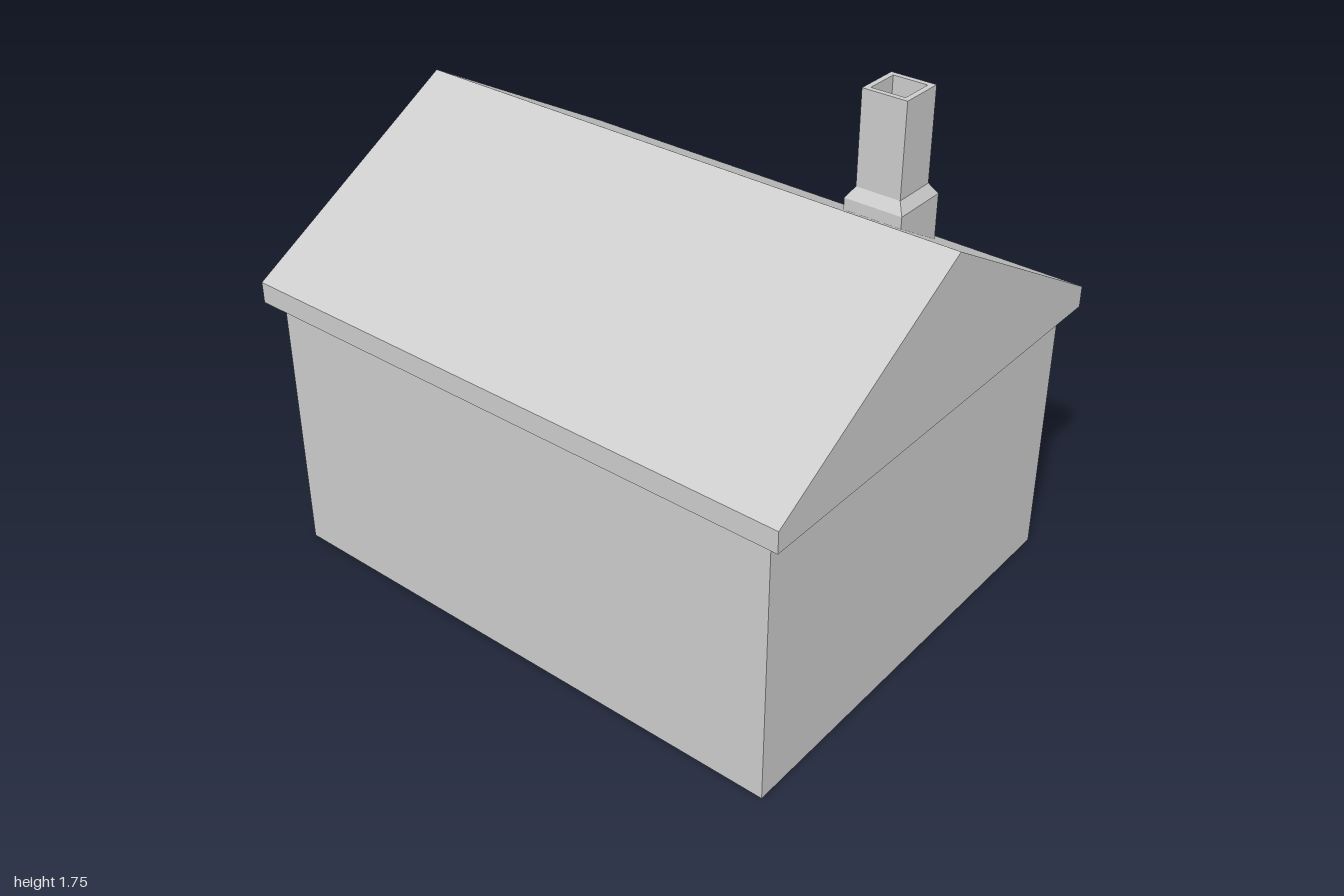
import * as THREE from 'three';

export function createModel() {
  const house = new THREE.Group();
  house.name = 'house';
  const material = new THREE.MeshStandardMaterial({ color: 0xcccccc, flatShading: true });

  const add = (name, geometry, x = 0, y = 0, z = 0) => {
    const mesh = new THREE.Mesh(geometry, material);
    mesh.name = name;
    mesh.position.set(x, y, z);
    house.add(mesh);
    return mesh;
  };

  // Walls: a plain block
  add('walls', new THREE.BoxGeometry(1.9, 0.92, 1.52), 0, 0.46, 0);

  // Gabled roof: end profile with a short fascia, extruded along x
  const gable = new THREE.Shape([
    [-0.8, 0.92], [0.8, 0.92], [0.8, 0.992], [0, 1.45], [-0.8, 0.992],
  ].map(([z, y]) => new THREE.Vector2(z, y)));
  const roof = new THREE.ExtrudeGeometry(gable, { depth: 2, bevelEnabled: false });
  roof.translate(0, 0, -1).rotateY(Math.PI / 2);
  add('roof', roof);

  // Square chimney: wide base, sloped shoulder, shaft and hollow flue
  const profile = [
    [0, 1.2], [0.098, 1.2], [0.098, 1.41], [0.075, 1.445],
    [0.075, 1.75], [0.057, 1.75], [0.057, 1.48], [0, 1.48],
  ].map(([half, y]) => new THREE.Vector2(half * Math.SQRT2, y));
  add('chimney', new THREE.LatheGeometry(profile, 4, Math.PI / 4), 0.63, 0, -0.235);

  return house;
}
